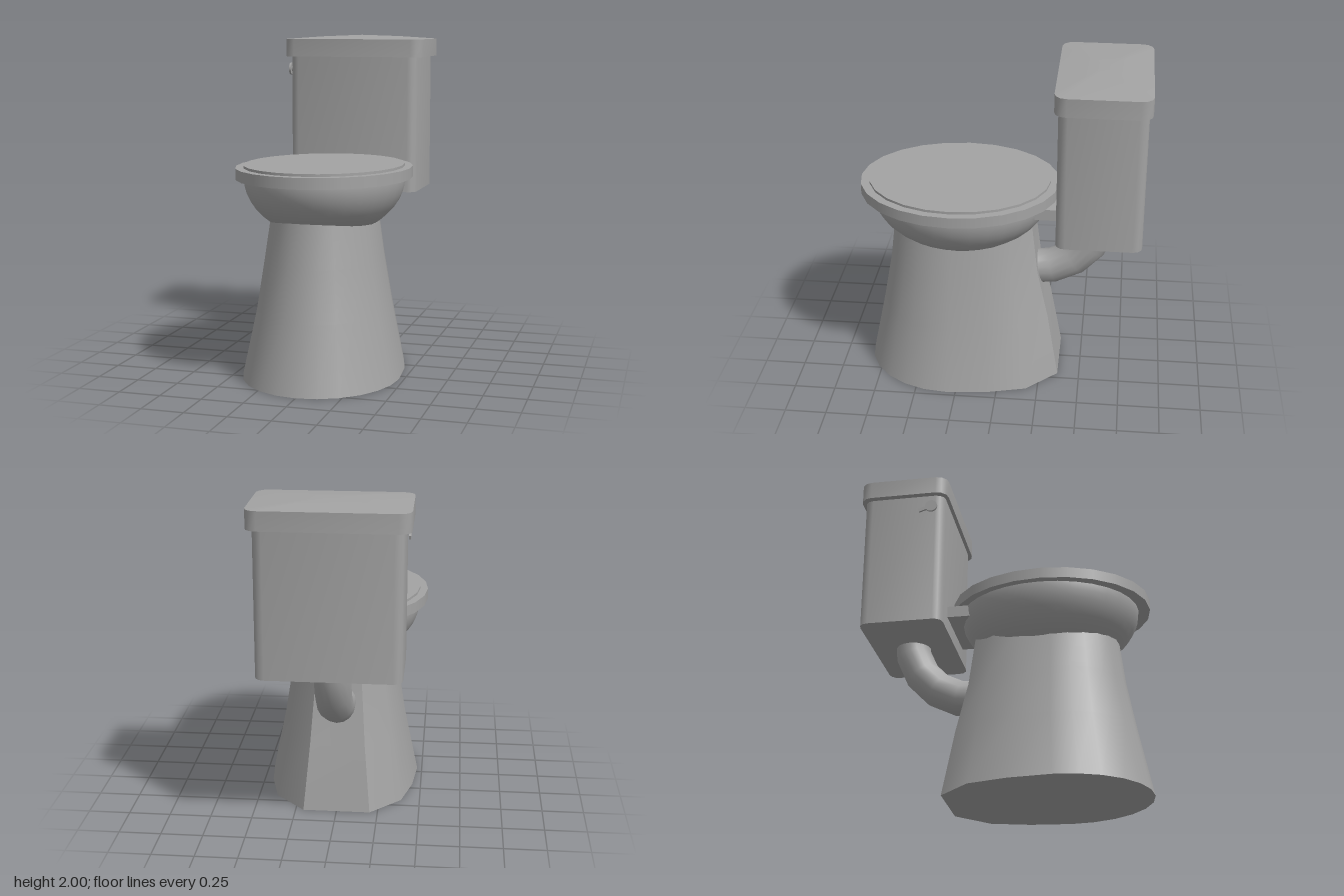
import * as THREE from 'three';
import { toCreasedNormals } from 'three/addons/utils/BufferGeometryUtils.js';

const ceramic = new THREE.MeshStandardMaterial({ color: 0xa3a3a3 });
ceramic.name = 'grey ceramic';

// Stacks an [x, z] outline through levels of [y, scaleX, scaleZ, centreZ]; scale 0 closes an end
function loft(outline, levels, crease = 0.75) {
  const n = outline.length, pos = [], idx = [];
  for (const [y, sx, sz, cz] of levels)
    for (const [x, z] of outline) pos.push(x * sx, y, z * sz + cz);
  for (let l = 0; l < levels.length - 1; l++)
    for (let i = 0; i < n; i++) {
      const a = l * n + i, b = l * n + (i + 1) % n, c = a + n, d = b + n;
      if (levels[l][1] > 0) idx.push(a, b, d);
      if (levels[l + 1][1] > 0) idx.push(a, d, c);
      else if (levels[l][1] > 0) idx[idx.length - 1] = c;
    }
  const g = new THREE.BufferGeometry();
  g.setAttribute('position', new THREE.Float32BufferAttribute(pos, 3));
  g.setIndex(idx);
  return toCreasedNormals(g, crease);
}

// Rounded rectangle outline, running from +z towards +x
function roundedRect(hx, hz, r) {
  const pts = [];
  [[1, 1], [1, -1], [-1, -1], [-1, 1]].forEach(([sx, sz], q) => {
    for (let k = 0; k <= 3; k++) {
      const t = (q + k / 3) * Math.PI / 2;
      pts.push([sx * (hx - r) + r * Math.sin(t), sz * (hz - r) + r * Math.cos(t)]);
    }
  });
  return pts;
}

export function createModel() {
  const group = new THREE.Group();
  const add = (name, geometry, x = 0, y = 0, z = 0) => {
    const m = new THREE.Mesh(geometry, ceramic);
    m.name = name;
    m.position.set(x, y, z);
    group.add(m);
    return m;
  };

  // Flared pedestal: round front, chamfered back
  const foot = [];
  for (let i = 0; i <= 12; i++) {
    const t = -Math.PI / 2 + i * Math.PI / 12;
    foot.push([Math.sin(t), 0.12 + 0.88 * Math.cos(t)]);
  }
  foot.push([0.95, -0.3], [0.82, -0.69], [0.43, -1], [-0.43, -1], [-0.82, -0.69], [-0.95, -0.3]);
  add('pedestal', loft(foot, [
    [0, 0, 0, 0.24], [0, 0.47, 0.602, 0.237], [0.4, 0.387, 0.525, 0.23],
    [0.7, 0.34, 0.463, 0.237], [1.0, 0.295, 0.427, 0.237], [1.0, 0, 0, 0.237],
  ]));

  // Bowl, seat and closed cover
  const half = new THREE.SphereGeometry(1, 32, 12, 0, Math.PI * 2, Math.PI / 2, Math.PI / 2);
  add('bowl', half.scale(0.47, 0.35, 0.543), 0, 1.18, 0.25);
  const disc = (rx, h, rz) => new THREE.CylinderGeometry(1, 1, h, 24).scale(rx, 1, rz);
  add('seat', disc(0.515, 0.065, 0.603), 0, 1.2125, 0.26);
  add('seatCover', disc(0.468, 0.015, 0.55), 0, 1.2525, 0.26);
  add('hingeBlock', new THREE.BoxGeometry(0.47, 0.07, 0.15), 0, 1.145, -0.285);

  // Tank and its crowned lid
  add('tank', loft(roundedRect(0.41, 0.252, 0.055), [
    [1.02, 0, 0, -0.595], [1.02, 1, 1, -0.595], [1.88, 1, 1, -0.595], [1.88, 0, 0, -0.595],
  ]));
  add('tankLid', loft(roundedRect(0.447, 0.273, 0.07), [
    [1.865, 0, 0, -0.594], [1.865, 1, 1, -0.594], [1.975, 1, 1, -0.594],
    [1.991, 0.5, 0.5, -0.594], [2.0, 0, 0, -0.594],
  ]));

  // Flush pipe bending from the tank into the pedestal
  const pipe = add('flushPipe', new THREE.TorusGeometry(0.41, 0.108, 16, 5, 1.78), 0, 1.07, -0.2);
  pipe.rotation.set(0, Math.PI / 2, -Math.PI / 2 - 0.09);

  // Flush lever on the side of the tank
  const axle = new THREE.CylinderGeometry(0.018, 0.018, 0.04, 12).rotateZ(Math.PI / 2);
  add('leverAxle', axle, -0.41, 1.785, -0.42);
  const knob = new THREE.CylinderGeometry(0.038, 0.038, 0.012, 16).rotateZ(Math.PI / 2);
  add('leverKnob', knob, -0.424, 1.785, -0.42);
  const handle = add('leverHandle', new THREE.BoxGeometry(0.012, 0.022, 0.08), -0.424, 1.77, -0.46);
  handle.rotation.x = -0.3;

  return group;
}
